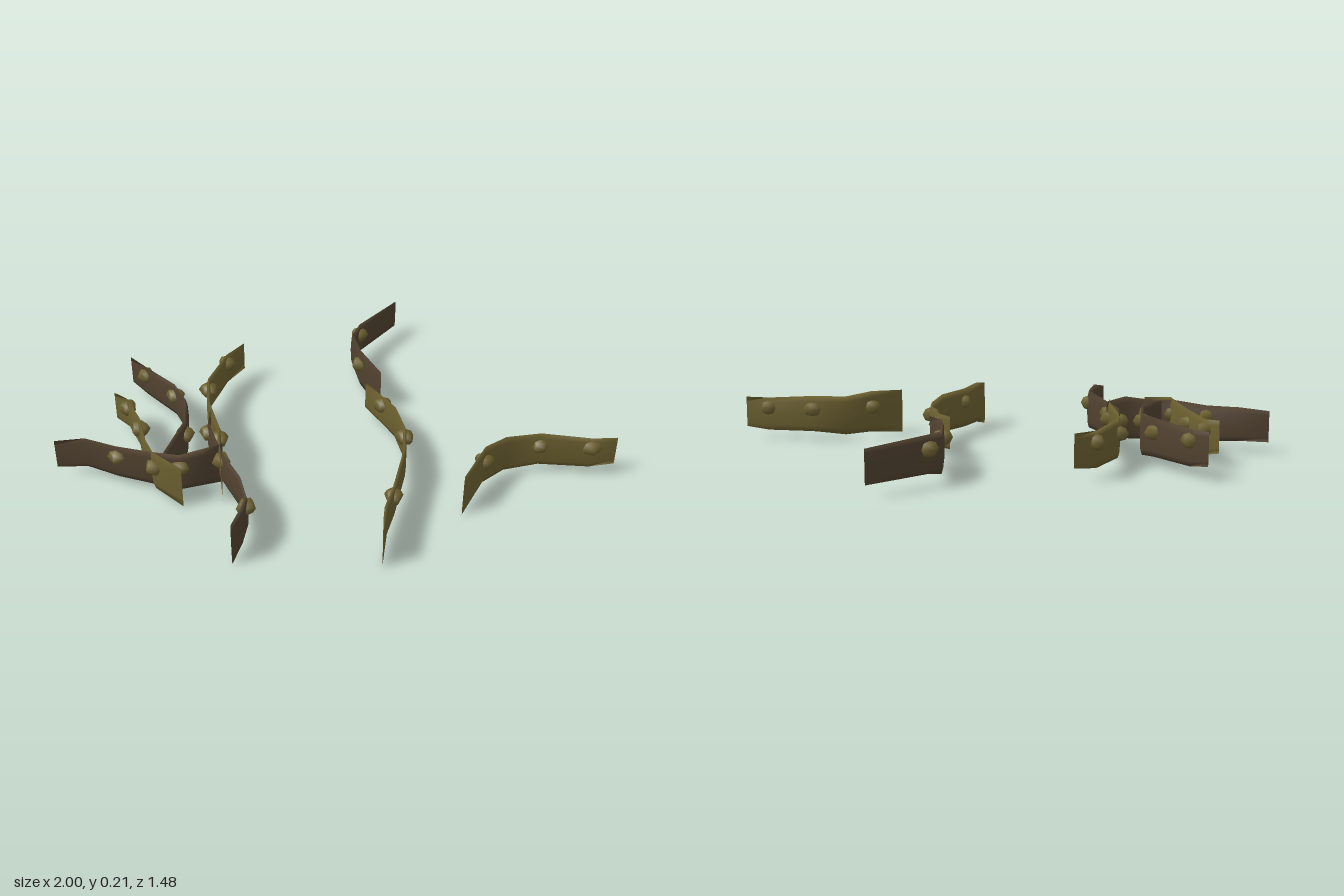
import * as THREE from 'three';

const olive = new THREE.MeshStandardMaterial({ color: 0x6c6030, side: THREE.DoubleSide });
olive.name = 'olive';
const brown = new THREE.MeshStandardMaterial({ color: 0x514230, side: THREE.DoubleSide });
brown.name = 'brown';

// Upright blade: lens-shaped sections along a path of [x, z], root first.
// It gets lower towards the tip, waves up and down, and is thin at both ends.
function bladeGeometry(path) {
  const sides = 8, last = path.length - 1;
  const positions = [], index = [];
  const up = new THREE.Vector3(0, 1, 0);
  path.forEach(([x, z], i) => {
    const a = path[Math.max(i - 1, 0)], b = path[Math.min(i + 1, last)];
    const tangent = new THREE.Vector3(b[0] - a[0], 0, b[1] - a[1]).normalize();
    const side = up.clone().cross(tangent);
    const halfThickness = i === 0 || i === last ? 0.0008 : 0.009;
    const halfHeight = THREE.MathUtils.lerp(0.095, 0.065, i / last);
    const middle = i === 0 ? 0.095 : i % 2 ? 0.116 : 0.108;
    for (let j = 0; j < sides; j++) {
      const t = j / sides * Math.PI * 2;
      const s = Math.cos(t) * halfThickness;
      positions.push(x + side.x * s, middle + Math.sin(t) * halfHeight, z + side.z * s);
    }
  });
  for (let i = 0; i < last; i++) {
    for (let j = 0; j < sides; j++) {
      const a = i * sides + j, b = i * sides + (j + 1) % sides;
      index.push(a, b, a + sides, b, b + sides, a + sides);
    }
  }
  const geometry = new THREE.BufferGeometry();
  geometry.setAttribute('position', new THREE.Float32BufferAttribute(positions, 3));
  geometry.setIndex(index);
  geometry.computeVertexNormals();
  return geometry;
}

// Small five-sided air bladder
const bladderGeometry = new THREE.SphereGeometry(0.043, 5, 4);
bladderGeometry.scale(1, 0.75, 0.9);

// A blade with bladders at the chosen path points
function frond(name, material, path, bladderPoints) {
  const group = new THREE.Group();
  group.name = name;
  const blade = new THREE.Mesh(bladeGeometry(path), material);
  blade.name = 'blade';
  group.add(blade);
  for (const i of bladderPoints) {
    const [x, z] = path[i];
    const bladder = new THREE.Mesh(bladderGeometry, olive);
    bladder.name = 'bladder';
    bladder.position.set(x, 0.135, z);
    bladder.rotation.y = 0.3 + i * 1.9 + x;
    group.add(bladder);
  }
  return group;
}

export function createModel() {
  const model = new THREE.Group();
  model.name = 'seaweed';

  // Three fronds lying apart on the left
  model.add(frond('frontLeftFrond', olive,
    [[0.32, 0.62], [0.48, 0.515], [0.6, 0.485], [0.735, 0.53], [0.91, 0.637], [1, 0.68]], [1, 3, 4]));
  model.add(frond('frontMiddleFrond', olive,
    [[-0.1, 0.735], [-0.03, 0.63], [0.055, 0.54], [0.2, 0.37], [0.28, 0.237], [0.31, 0.11], [0.31, 0.005], [0.295, -0.115]],
    [2, 4, 6]));
  model.add(frond('backLeftFrond', brown,
    [[0.38, -0.135], [0.375, -0.305], [0.42, -0.46], [0.483, -0.515], [0.74, -0.635]], [1, 3]));

  // Tangled clump on the right
  model.add(frond('outerRightFrond', brown,
    [[-0.42, 0.01], [-0.51, 0.025], [-0.6, 0.005], [-0.69, -0.06], [-0.795, -0.172], [-0.89, -0.275], [-1, -0.33]], [2, 4]));
  model.add(frond('innerRightFrond', olive,
    [[-0.625, 0.08], [-0.69, -0.042], [-0.68, -0.17], [-0.65, -0.3], [-0.643, -0.462], [-0.675, -0.525]], [1, 3, 4]));
  model.add(frond('backRightFrond', brown,
    [[-0.65, -0.04], [-0.5, -0.183], [-0.435, -0.33], [-0.435, -0.45], [-0.49, -0.65], [-0.52, -0.745]], [1, 3, 4]));
  model.add(frond('backMiddleFrond', olive,
    [[-0.475, 0.12], [-0.39, -0.093], [-0.35, -0.29], [-0.293, -0.425], [-0.143, -0.575], [-0.04, -0.62]], [1, 3, 4]));
  model.add(frond('frontRightFrond', brown,
    [[-0.59, 0.47], [-0.52, 0.41], [-0.47, 0.34], [-0.445, 0.23], [-0.44, 0.04], [-0.41, -0.15], [-0.36, -0.25]], [2, 4, 5]));
  return model;
}
